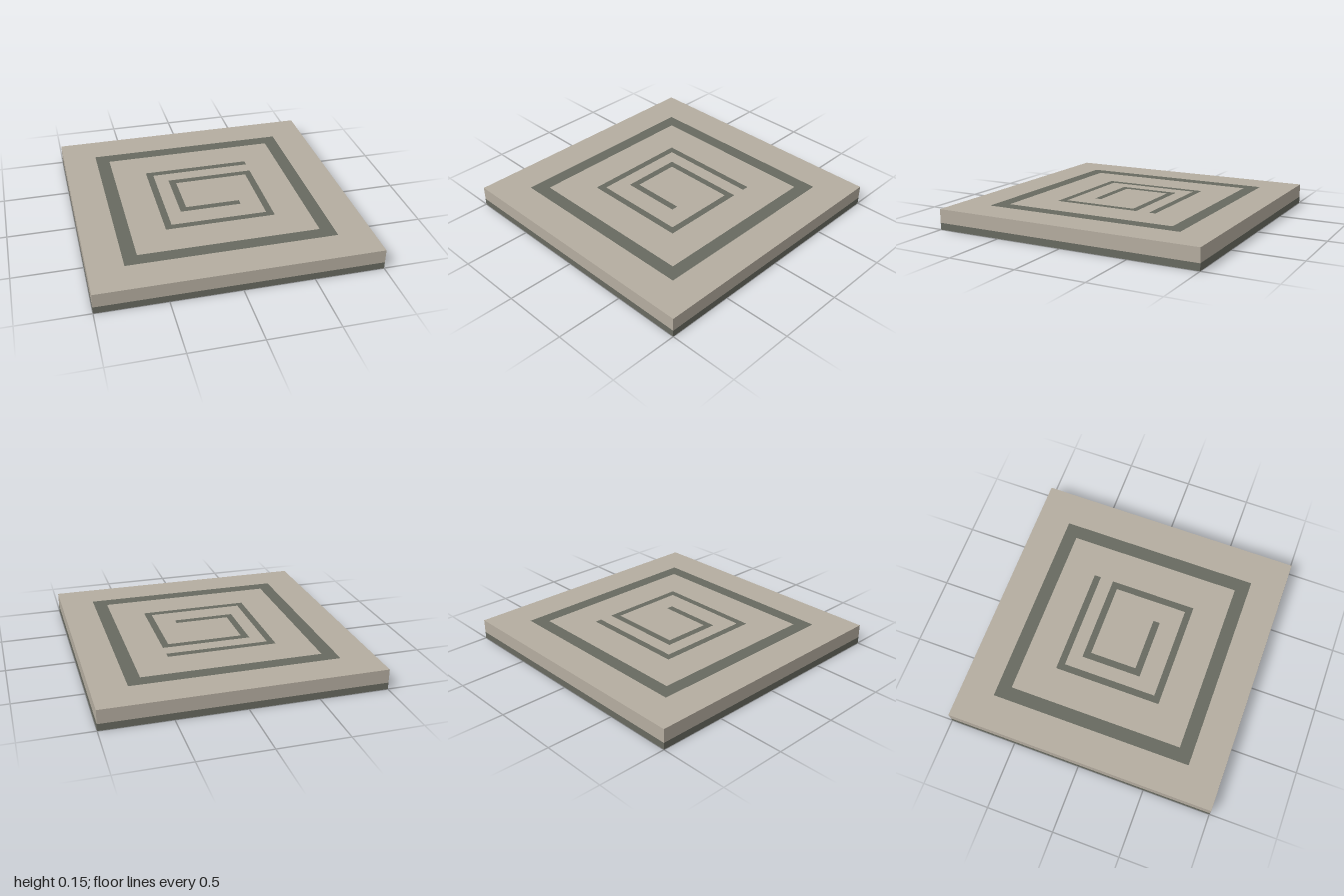
import * as THREE from 'three';

const stone = new THREE.MeshStandardMaterial({ name: 'pale stone', color: 0xb5ada0 });
const dark = new THREE.MeshStandardMaterial({ name: 'dark stone', color: 0x686a60 });

const BASE = 0.05, TOP = 0.15, INLAY = 0.001;

const toPoints = (pairs) => pairs.map(([x, y]) => new THREE.Vector2(x, y));
const square = (r) => toPoints([[-r, -r], [r, -r], [r, r], [-r, r]]);

// Square layer of the tile between two heights
function layer(name, y0, y1, material) {
  const mesh = new THREE.Mesh(new THREE.BoxGeometry(2, y1 - y0, 2), material);
  mesh.position.y = (y0 + y1) / 2;
  mesh.name = name;
  return mesh;
}

// Flat face lying on top of the tile; shape y points to the back
function inlay(name, shape) {
  const mesh = new THREE.Mesh(new THREE.ShapeGeometry(shape).rotateX(-Math.PI / 2), dark);
  mesh.position.y = TOP + INLAY;
  mesh.name = name;
  return mesh;
}

export function createModel() {
  const group = new THREE.Group();
  group.name = 'floorTile';

  group.add(layer('base', 0, BASE, dark), layer('slab', BASE, TOP, stone));

  // Square border frame
  const frame = new THREE.Shape(square(0.75));
  frame.holes.push(new THREE.Path(square(0.65)));
  group.add(inlay('borderInlay', frame));

  // Square spiral: outer edge winding inwards, then inner edge back out
  const spiral = new THREE.Shape(toPoints([
    [0.4, 0.4], [-0.4, 0.4], [-0.4, -0.4], [0.4, -0.4],
    [0.4, 0.25], [-0.25, 0.25], [-0.25, -0.2], [0.2, -0.2],
    [0.2, -0.15], [-0.2, -0.15], [-0.2, 0.2], [0.35, 0.2],
    [0.35, -0.35], [-0.35, -0.35], [-0.35, 0.35], [0.4, 0.35],
  ]));
  group.add(inlay('spiralInlay', spiral));

  return group;
}
